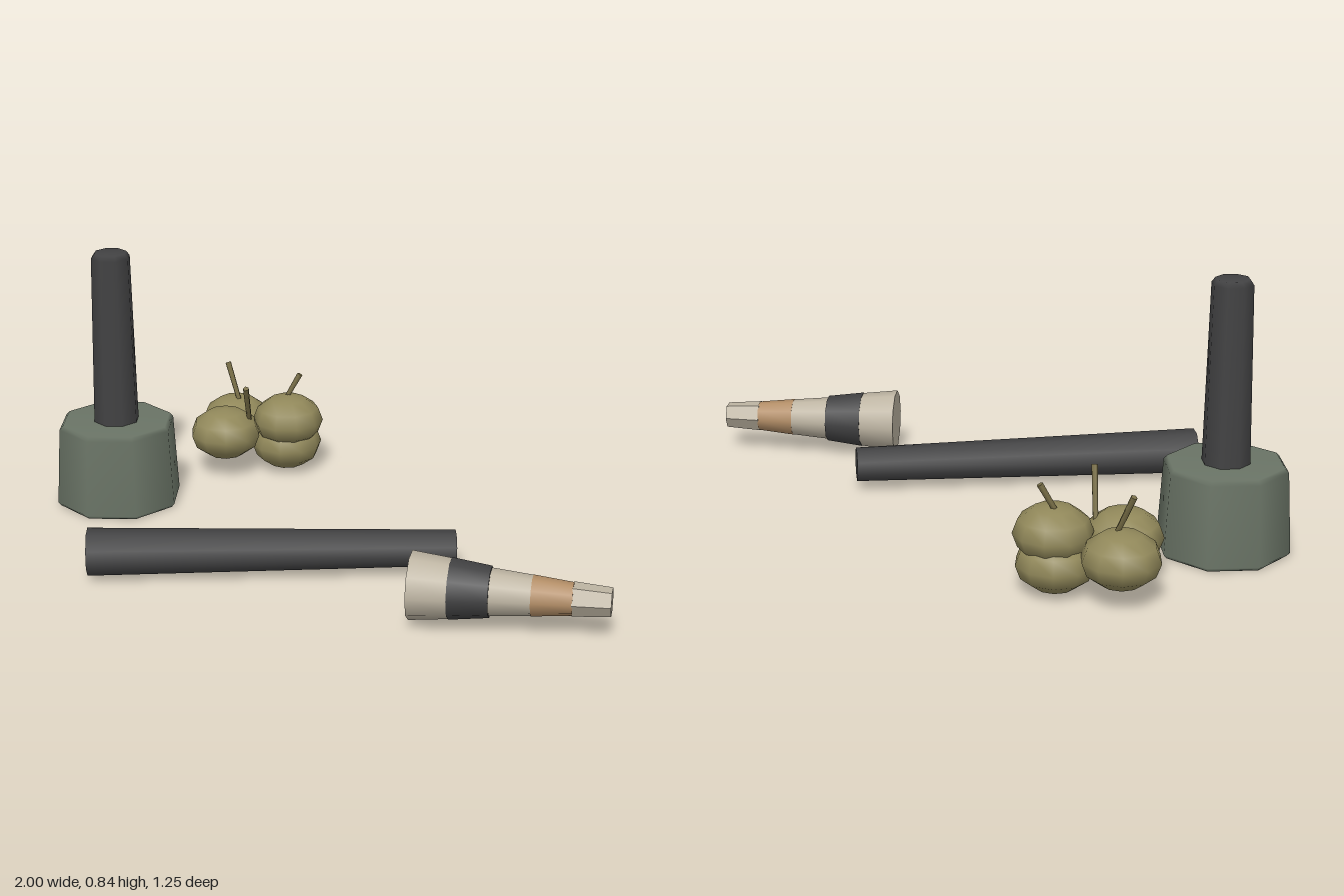
import * as THREE from 'three';

const paint = (name, color) => {
  const m = new THREE.MeshStandardMaterial({ color });
  m.name = name;
  return m;
};

export function createModel() {
  const stone = paint('greyGreenStone', 0x6a7466);
  const dark = paint('charcoal', 0x424243);
  const cream = paint('cream', 0xbdb4a2);
  const tan = paint('tan', 0xb28d66);
  const olive = paint('oliveFruit', 0x91885a);
  const stalk = paint('stalk', 0x7a7048);

  const model = new THREE.Group();
  model.name = 'rangeOfProps';

  const add = (parent, name, geometry, material, x = 0, y = 0, z = 0) => {
    const mesh = new THREE.Mesh(geometry, material);
    mesh.name = name;
    mesh.position.set(x, y, z);
    parent.add(mesh);
    return mesh;
  };
  const lathe = (points, sides) =>
    new THREE.LatheGeometry(points.map(([r, y]) => new THREE.Vector2(r, y)), sides);

  // Upright post in a heavy eight-sided base
  const postStand = new THREE.Group();
  postStand.name = 'postStand';
  postStand.position.set(-0.795, 0, -0.012);
  model.add(postStand);
  add(postStand, 'base', lathe([[0, 0], [0.195, 0], [0.205, 0.012], [0.19, 0.262], [0.178, 0.275], [0, 0.276]], 8), stone);
  add(postStand, 'post', lathe([[0.074, 0.26], [0.063, 0.822], [0.052, 0.837], [0, 0.838]], 8), dark);

  // Tapered segment lying along +x, starting at x0
  const lying = (x0, x1, r0, r1, sides, roll = 0) =>
    new THREE.CylinderGeometry(r1, r0, x1 - x0, sides, 1, false, roll)
      .rotateZ(-Math.PI / 2)
      .translate((x0 + x1) / 2, 0, 0);

  // Loose rod lying on the ground
  const rod = add(model, 'looseRod', lying(0, 1.108, 0.072, 0.054, 8, Math.PI / 8), dark, -0.565, 0.085, 0.57);
  rod.rotation.y = Math.atan2(0.49, 0.995);

  // Banded cone lying on its side
  const cone = new THREE.Group();
  cone.name = 'bandedCone';
  cone.position.set(0.432, 0.116, 0.443);
  cone.rotation.y = 0.23;
  model.add(cone);
  [
    ['wideBand', 0, 0.117, 0.101, 0.088, cream],
    ['darkBand', 0.115, 0.232, 0.09, 0.075, dark],
    ['middleBand', 0.23, 0.352, 0.07, 0.059, cream],
    ['tanBand', 0.35, 0.467, 0.06, 0.048, tan],
  ].forEach(([name, x0, x1, r0, r1, material]) => add(cone, name, lying(x0, x1, r0, r1, 10), material));
  const tip = lying(0.465, 0.576, 0.05, 0.042, 6).toNonIndexed();
  tip.computeVertexNormals();
  add(cone, 'tip', tip, cream);

  // Pile of squashed fruit
  const pile = new THREE.Group();
  pile.name = 'fruitPile';
  model.add(pile);
  [
    [-0.615, 0.135, -0.51],
    [-0.405, 0.177, -0.48],
    [-0.58, 0.143, -0.36],
    [-0.415, 0.09, -0.49],
  ].forEach(([x, y, z], i) => {
    const fruit = add(pile, 'fruit' + (i + 1), new THREE.SphereGeometry(0.118, 10, 6), olive, x, y, z);
    fruit.scale.y = 0.72;
    fruit.rotation.y = i * 0.4;
  });

  // Thin stalks poking out of the pile
  [
    [[-0.59, 0.19, -0.495], [-0.652, 0.33, -0.525]],
    [[-0.425, 0.23, -0.49], [-0.375, 0.33, -0.515]],
    [[-0.512, 0.14, -0.412], [-0.475, 0.33, -0.31]],
  ].forEach(([a, b], i) => {
    const path = new THREE.LineCurve3(new THREE.Vector3(...a), new THREE.Vector3(...b));
    const dir = path.getTangent(0);
    const mid = path.getPoint(0.5);
    const stem = add(pile, 'stalk' + (i + 1), new THREE.CylinderGeometry(0.01, 0.008, path.getLength(), 5), stalk, mid.x, mid.y, mid.z);
    stem.quaternion.setFromUnitVectors(new THREE.Vector3(0, 1, 0), dir);
  });

  return model;
}
